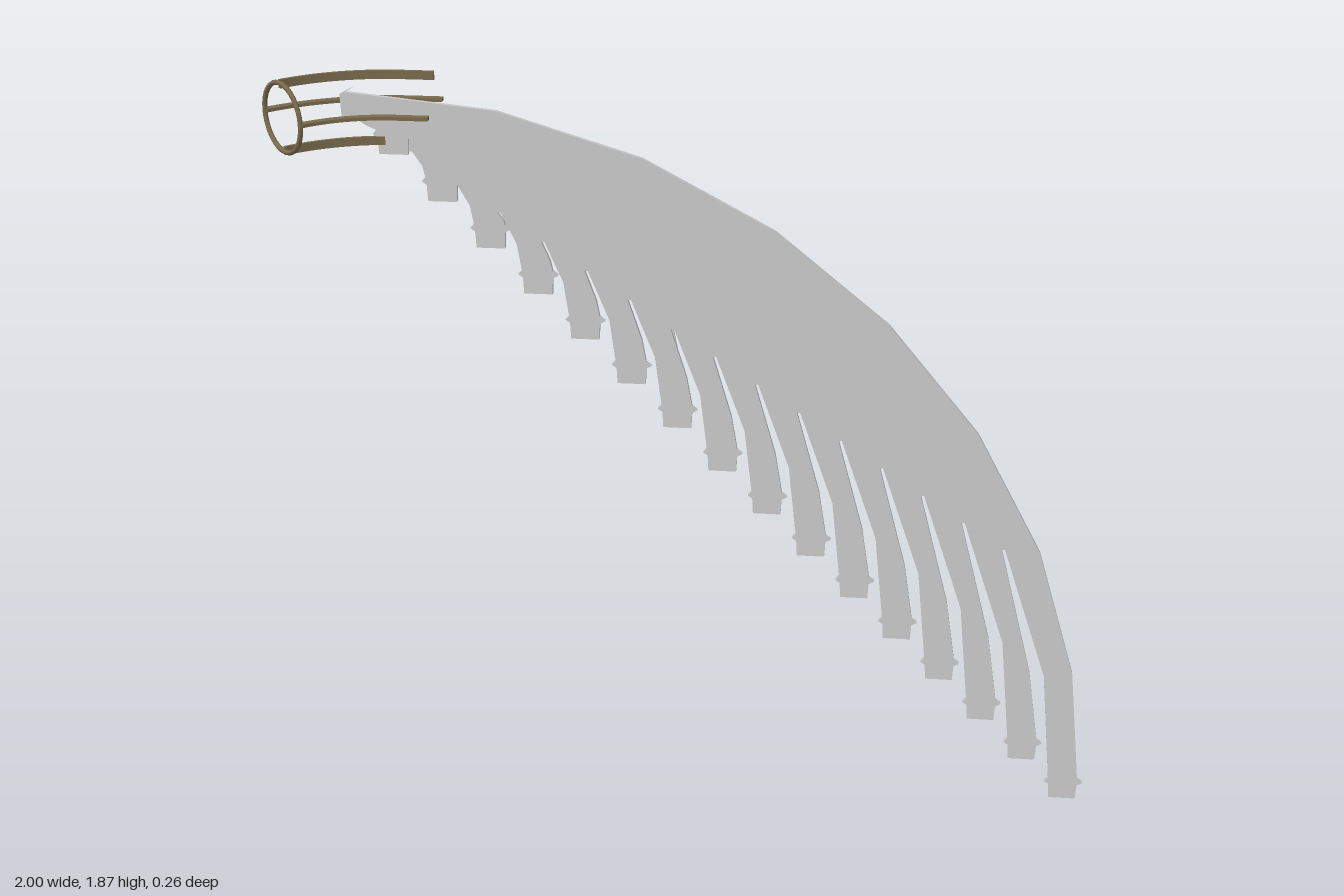
import * as THREE from 'three';

const feathers = 16;
const rootX = -0.815;

// Centre of the bottom edge of feather i, counted from the longest
const tip = (i) => [0.949 - i * 0.1105, i * 0.1113];

function extrude(shape, depth) {
  return new THREE.ExtrudeGeometry(shape, { depth, bevelEnabled: false });
}

// Wing silhouette: faceted quarter-ellipse leading edge, then feather tips and slits
function wingShape() {
  const pts = [];
  for (let k = 8; k >= 1; k--) {
    const a = (k * Math.PI) / 16;
    pts.push([rootX + 1.8 * Math.cos(a), 0.02 + 1.795 * Math.sin(a)]);
  }
  for (let i = 0; i < feathers; i++) {
    const [x, y] = tip(i);
    // Squared tip with a small barb on each side
    pts.push([x + 0.036, y + 0.058], [x + 0.049, y + 0.048], [x + 0.036, y + 0.04], [x + 0.034, y],
      [x - 0.034, y], [x - 0.036, y + 0.04], [x - 0.047, y + 0.048], [x - 0.038, y + 0.058]);
    if (i === feathers - 1) break;
    // Curved slit up to its point and down to the next feather
    const sx = x - 0.19 + i * 0.0085;
    const sy = y + Math.max(0.71 - i * 0.0425, 0.12);
    const [nx, ny] = tip(i + 1);
    const inner = x - 0.038, outer = nx + 0.036;
    const lerp = THREE.MathUtils.lerp;
    pts.push([lerp(inner, sx, 0.2), lerp(y + 0.058, sy, 0.46)], [sx + 0.004, sy], [sx - 0.004, sy]);
    pts.push([lerp(outer, sx, 0.26), lerp(ny + 0.058, sy, 0.36)]);
  }
  // Narrow root
  pts.push([-0.765, 1.735], [-0.79, 1.75], [-0.826, 1.75], [-0.828, 1.81], [-0.795, 1.828]);
  return new THREE.Shape(pts.map(([x, y]) => new THREE.Vector2(x, y)));
}

// Slim raised quill along the back of the wing
function quillShape() {
  const pts = [];
  const arc = (a, b, from, to) => {
    for (let k = 0; k <= 8; k++) {
      const t = from + ((to - from) * k) / 8;
      pts.push(new THREE.Vector2(rootX + a * Math.cos(t), 1.05 + b * Math.sin(t)));
    }
  };
  arc(0.79, 0.75, 0.1, 1.45);
  arc(0.755, 0.715, 1.45, 0.1);
  return new THREE.Shape(pts);
}

// Bracket rail: straight, then bending 45 degrees towards the front
function railGeometry(radius, width, height, y) {
  const cx = -0.68, cz = 0.32, end = -0.605;
  const ro = radius + width / 2, ri = radius - width / 2;
  const s = new THREE.Shape();
  s.moveTo(end, cz - ro);
  s.lineTo(cx, cz - ro);
  s.absarc(cx, cz, ro, -Math.PI / 2, -Math.PI * 0.75, true);
  s.lineTo(cx + ri * Math.cos(-Math.PI * 0.75), cz + ri * Math.sin(-Math.PI * 0.75));
  s.absarc(cx, cz, ri, -Math.PI * 0.75, -Math.PI / 2, false);
  s.lineTo(end, cz - ri);
  return extrude(s, height).rotateX(Math.PI / 2).translate(0, y + height / 2, 0);
}

export function createModel() {
  const model = new THREE.Group();
  model.name = 'featheredWing';
  const grey = new THREE.MeshStandardMaterial({ color: 0xc8c8c8 });
  grey.name = 'featherGrey';
  const bronze = new THREE.MeshStandardMaterial({ color: 0x786a4c });
  bronze.name = 'oliveBronze';

  const add = (parent, name, geometry, material) => {
    const mesh = new THREE.Mesh(geometry, material);
    mesh.name = name;
    parent.add(mesh);
    return mesh;
  };

  // Wing
  add(model, 'wingPlate', extrude(wingShape(), 0.011), grey).position.z = -0.049;
  add(model, 'backQuill', extrude(quillShape(), 0.005), grey).position.z = -0.052;

  // Shoulder bracket: four rails and an end ring
  const bracket = new THREE.Group();
  bracket.name = 'shoulderBracket';
  model.add(bracket);
  add(bracket, 'backRail', railGeometry(0.445, 0.02, 0.008, 1.78), bronze);
  add(bracket, 'frontRail', railGeometry(0.285, 0.02, 0.008, 1.78), bronze);
  add(bracket, 'topRail', railGeometry(0.365, 0.008, 0.02, 1.859), bronze);
  add(bracket, 'bottomRail', railGeometry(0.365, 0.008, 0.02, 1.702), bronze);
  const ring = add(bracket, 'endRing', new THREE.TorusGeometry(0.081, 0.006, 8, 32), bronze);
  ring.position.set(-0.937, 1.78, 0.062);
  ring.rotation.y = -Math.PI / 4;

  return model;
}
